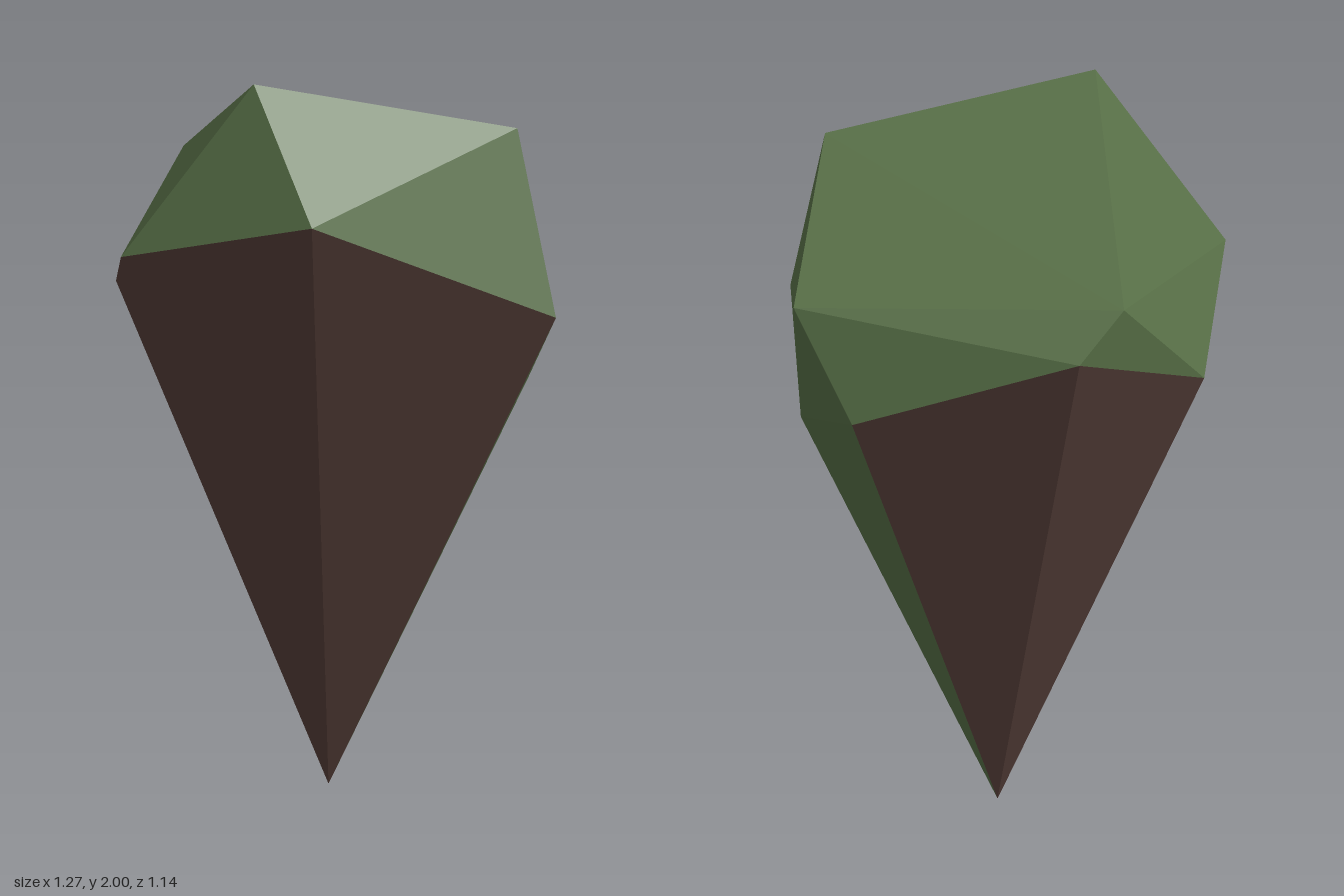
import * as THREE from 'three';

// Crown corners, counterclockwise from above
const CROWN = [
  [-0.06, 2.0, 0.43], [0.51, 1.85, -0.04], [0.285, 1.6, -0.545], [-0.58, 1.7, -0.23],
];
// Rim corners, counterclockwise from above, starting at the front left of the front view
const RIM = [
  [-0.4, 1.52, 0.555], [0.18, 1.64, 0.57], [0.635, 1.34, -0.02], [0.42, 1.12, -0.3],
  [0.08, 1.31, -0.57], [-0.52, 1.57, -0.36], [-0.635, 1.37, 0.085],
];
const TIP = [-0.08, 0, -0.09];

// Flat-shaded mesh from a list of triangles (three points each)
function facets(name, triangles, material) {
  const geometry = new THREE.BufferGeometry();
  geometry.setAttribute('position', new THREE.Float32BufferAttribute(triangles.flat(2), 3));
  geometry.computeVertexNormals();
  const mesh = new THREE.Mesh(geometry, material);
  mesh.name = name;
  return mesh;
}

export function createModel() {
  const moss = new THREE.MeshStandardMaterial({ color: 0x587047, flatShading: true });
  moss.name = 'moss green';
  const earth = new THREE.MeshStandardMaterial({ color: 0x553e38, flatShading: true });
  earth.name = 'earth brown';

  // Long facets running from the rim down to the tip; two of them are mossy
  const mossySides = [2, 3];
  const earthFaces = [], mossFaces = [];
  RIM.forEach((p, i) => {
    const face = [TIP, RIM[(i + 1) % RIM.length], p];
    (mossySides.includes(i) ? mossFaces : earthFaces).push(face);
  });

  // Band between rim and crown
  const [a, b, c, d] = CROWN;
  const [r0, r1, r2, r3, r4, r5, r6] = RIM;
  const band = [
    [a, r0, r1], [a, r1, b], [b, r1, r2], [b, r2, c],
    [c, r2, r3], [c, r3, r4], [c, r4, r5], [c, r5, d],
    [d, r5, r6], [d, r6, r0], [d, r0, a],
  ];
  const top = [[a, b, d], [b, c, d]];

  const group = new THREE.Group();
  group.name = 'floatingRock';
  group.add(
    facets('rockUnderside', earthFaces, earth),
    facets('mossyUnderside', mossFaces, moss),
    facets('mossyShoulder', band, moss),
    facets('mossyTop', top, moss),
  );
  return group;
}
